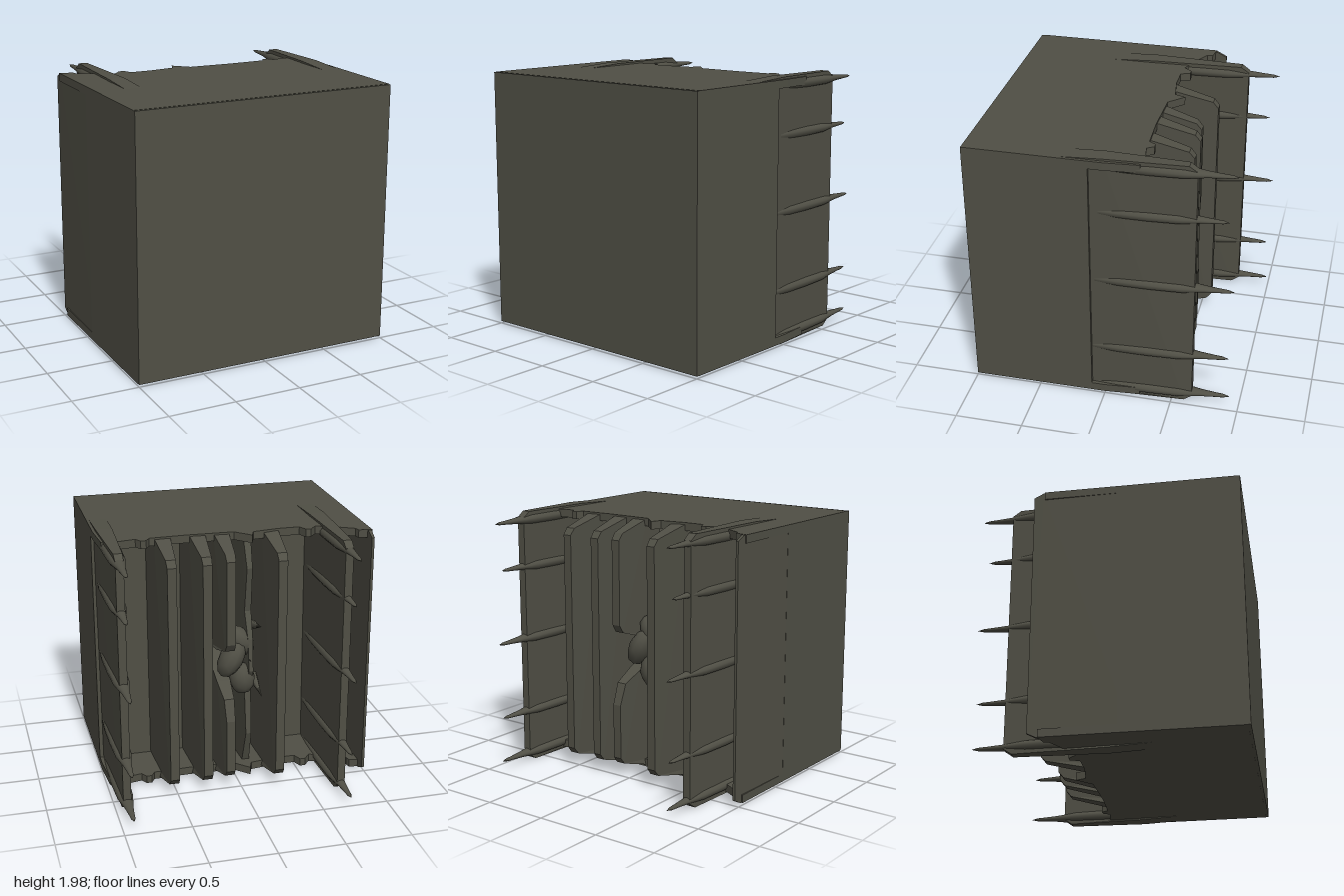
import * as THREE from 'three';

const darkOlive = new THREE.MeshStandardMaterial({ color: 0x504f45 });
darkOlive.name = 'darkOlive';

export function createModel() {
  const model = new THREE.Group();
  const add = (name, geo, parent = model) => {
    const mesh = new THREE.Mesh(geo, darkOlive);
    mesh.name = name;
    parent.add(mesh);
    return mesh;
  };
  const toShape = pts => new THREE.Shape(pts.map(p => new THREE.Vector2(p[0], p[1])));

  // Solid front block
  const block = new THREE.BoxGeometry(2, 1.95, 0.9);
  block.translate(0, 1, 0.55);
  add('frontBlock', block);

  // Top and bottom plates with an uneven rear edge, outline in [x, -z]
  const edge = [[-1, -0.98], [1, -0.98], [1, 0], [0.98, 0.26], [0.84, 0.27], [0.73, 0.25], [0.7, 0.3],
    [0.66, 0.3], [0.63, 0.25], [0.35, 0.24], [0, 0.25], [-0.04, 0.29], [-0.07, 0.32], [-0.11, 0.36],
    [-0.14, 0.28], [-0.34, 0.25], [-0.5, 0.25], [-0.53, 0.32], [-0.57, 0.32], [-0.62, 0.26],
    [-0.78, 0.33], [-0.89, 0.39], [-0.9, 0.43], [-0.95, 0.44], [-1, 0.45]];
  [['bottomPlate', 0.023], ['topPlate', 1.917]].forEach(([name, y]) => {
    const g = new THREE.ExtrudeGeometry(toShape(edge), { depth: 0.06, bevelEnabled: false });
    g.rotateX(-Math.PI / 2);
    g.translate(0, y, 0);
    add(name, g);
  });

  // Fin: side outline in [-z, y], tapering in width from root to tip
  function fin(name, x, outline, tip, rootHalf, tipHalf, taperStart = 0.2) {
    const g = new THREE.ExtrudeGeometry(toShape(outline), { depth: 1, bevelEnabled: false });
    g.translate(0, 0, -0.5);
    g.rotateY(Math.PI / 2);
    const p = g.attributes.position;
    for (let i = 0; i < p.count; i++) {
      const t = THREE.MathUtils.clamp((-p.getZ(i) - taperStart) / (tip - taperStart), 0, 1);
      p.setX(i, x + p.getX(i) * 2 * THREE.MathUtils.lerp(rootHalf, tipHalf, t));
    }
    g.computeVertexNormals();
    return add(name, g);
  }
  const finOutline = (tip, y0, y1) => [[-0.15, y0], [0.22, y0], [tip - 0.04, y0 + 0.08], [tip, y0 + 0.13],
    [tip, y1 - 0.13], [tip - 0.04, y1 - 0.08], [0.22, y1], [-0.15, y1]];

  // Inner cooling fins, one of them broken in the middle
  [[-0.28, 0.59], [0.27, 0.555], [0.53, 0.56]].forEach(([x, tip]) =>
    fin('innerFin', x, finOutline(tip, 0.03, 1.97), tip, 0.062, 0.034));
  fin('brokenFinUpper', 0.09, [[-0.15, 1], [0.3, 1.08], [0.49, 1.14], [0.53, 1.2], [0.53, 1.84],
    [0.49, 1.89], [0.22, 1.97], [-0.15, 1.97]], 0.53, 0.06, 0.034);
  fin('brokenFinLower', 0.09, [[-0.15, 0.03], [0.22, 0.03], [0.49, 0.11], [0.53, 0.16], [0.53, 0.58],
    [0.47, 0.74], [0.3, 0.82], [-0.15, 1]], 0.53, 0.06, 0.034);

  // Outer spiked fins
  const spikeProfile = [[0, -0.36], [0.03, -0.25], [0.055, -0.1], [0.064, 0.1], [0.064, 0.35], [0.056, 0.6],
    [0.044, 0.68], [0.03, 0.77], [0.02, 0.88], [0.015, 0.95], [0, 1]].map(p => new THREE.Vector2(p[0], p[1]));
  [{ name: 'rightSpikedFin', x: -0.72, edge: 0.75, reach: 1 },
    { name: 'leftSpikedFin', x: 0.915, edge: 0.65, reach: 0.94 }].forEach(f => {
    const e = f.edge;
    fin(f.name, f.x, [[-0.45, 0.03], [0, 0.008], [e - 0.06, 0.008], [e, 0.05],
      [e, 1.95], [e - 0.06, 1.992], [0, 1.992], [-0.45, 1.97]], e, 0.066, 0.03, -0.1);
    [[0.07, 0.99], [0.415, 0.97], [1.005, 0.99], [1.57, 0.93], [1.93, 0.99]].forEach(([y, len]) => {
      const g = new THREE.LatheGeometry(spikeProfile, 14);
      g.scale(1.08, len * f.reach, 0.75);
      g.rotateX(-Math.PI / 2);
      g.translate(f.x, y, 0);
      add('spike', g);
    });
  });

  // Thin wall closing the right side
  fin('rightWall', -0.978, [[-0.2, 0.025], [0.46, 0.025], [0.53, 0.06], [0.53, 1.94],
    [0.46, 1.975], [-0.2, 1.975]], 0.53, 0.022, 0.01);

  // Low ridge and splinters in the middle channel
  fin('channelRidge', -0.11, [[-0.15, 0.05], [0.2, 0.05], [0.3, 0.35], [0.26, 0.7], [0.36, 0.9],
    [0.33, 1.15], [0.25, 1.35], [0.3, 1.7], [0.2, 1.95], [-0.15, 1.95]], 0.38, 0.045, 0.015, 0);
  [[0.03, 1.0, -0.3, 0.09, 0.16, 0.11], [-0.06, 0.82, -0.28, 0.1, 0.13, 0.09],
    [-0.05, 1.12, -0.25, 0.09, 0.14, 0.1]].forEach(([x, y, z, a, b, c], i) => {
    const g = new THREE.IcosahedronGeometry(1, 1);
    g.scale(a, b, c);
    g.rotateZ(0.5 - i * 0.6);
    g.translate(x, y, z);
    add('channelLump', g);
  });
  [[-0.18, 1.22, 0.3], [-0.19, 0.72, -0.2], [-0.1, 0.98, 0.1]].forEach(([x, y, tilt]) => {
    const g = new THREE.ConeGeometry(0.04, 0.3, 8);
    g.rotateX(-Math.PI / 2 + tilt);
    g.translate(x, y, -0.24);
    add('splinter', g);
  });

  return model;
}
